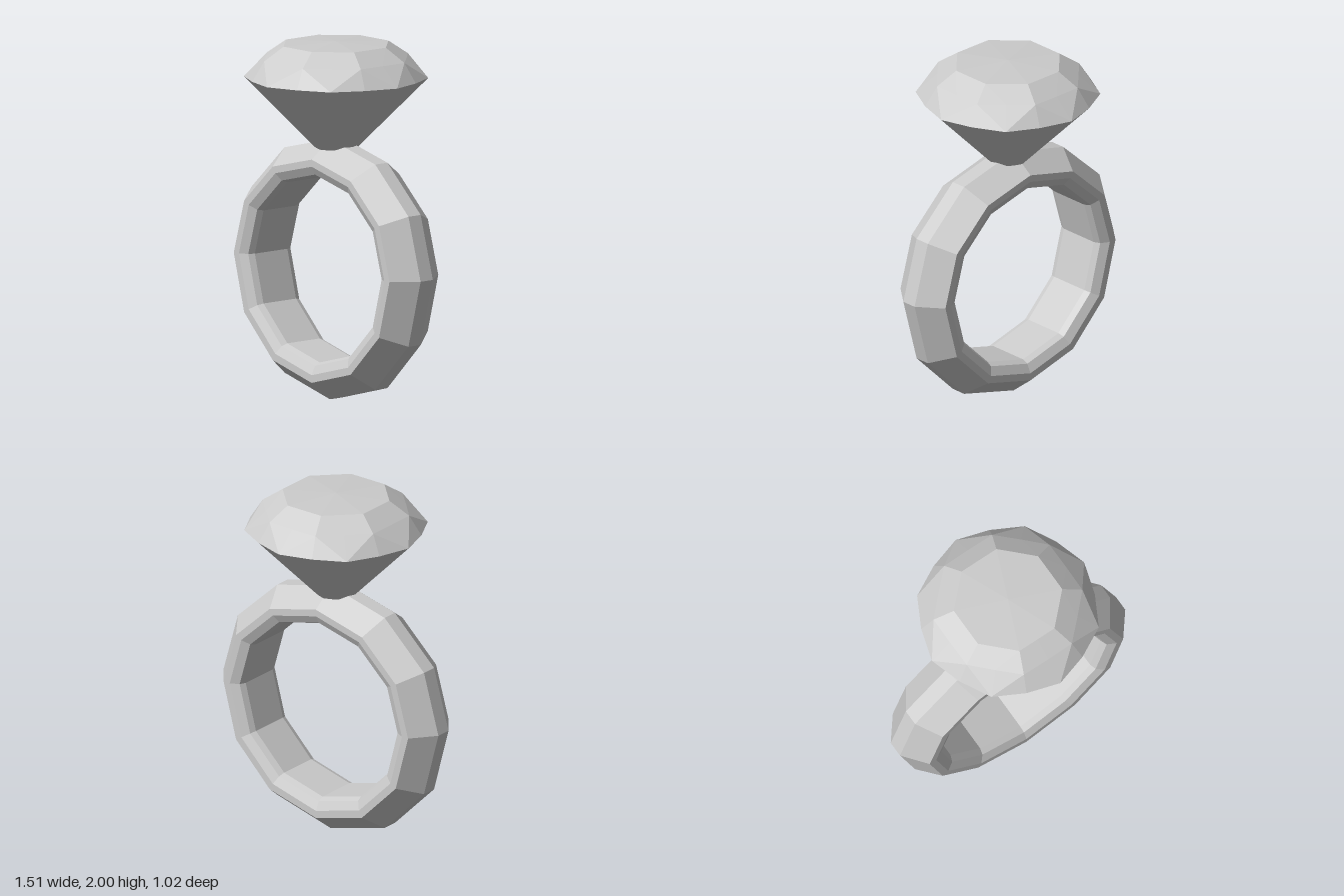
import * as THREE from 'three';

const material = new THREE.MeshStandardMaterial({ color: 0xcccccc, flatShading: true });

// Twelve-sided band: bevelled section swept round, then flattened a little in its upper half
function createBand() {
  const half = [[0.755, 0.045], [0.648, 0.18], [0.605, 0.18], [0.555, 0.155], [0.54, 0.12]];
  const mirrored = half.map(([r, z]) => [r, -z]).reverse();
  const section = [...half, ...mirrored, half[0]].map(([r, z]) => new THREE.Vector2(r, z));
  const geometry = new THREE.LatheGeometry(section, 12).rotateX(Math.PI / 2);
  const p = geometry.attributes.position;
  for (let i = 0; i < p.count; i++) {
    const y = p.getY(i);
    p.setY(i, 0.755 + (y > 0 ? y * 0.93 : y));
  }
  geometry.computeVertexNormals();
  const mesh = new THREE.Mesh(geometry, material);
  mesh.name = 'band';
  return mesh;
}

// Eight-fold cut stone from rings of 16 points: [height, radius on the corners, radius between them]
function createGem() {
  const rings = [
    [1.4, 0.0, 0.0],
    [1.4, 0.11, 0.104],
    [1.8, 0.51, 0.49],
    [1.91, 0.39, 0.42],
    [1.987, 0.283, 0.306],
    [2.0, 0.0, 0.0],
  ];
  const n = 16;
  const positions = [];
  const index = [];
  for (const [y, corner, between] of rings) {
    for (let i = 0; i < n; i++) {
      const a = (i / n) * Math.PI * 2;
      const r = i % 2 ? between : corner;
      positions.push(r * Math.sin(a), y, r * Math.cos(a));
    }
  }
  for (let k = 0; k < rings.length - 1; k++) {
    for (let i = 0; i < n; i++) {
      const j = (i + 1) % n;
      const a = k * n + i, b = k * n + j, c = b + n, d = a + n;
      // Diagonals alternate so that facets meet at the girdle corners
      if (i % 2) index.push(a, b, d, b, c, d);
      else index.push(a, b, c, a, c, d);
    }
  }
  const geometry = new THREE.BufferGeometry();
  geometry.setAttribute('position', new THREE.Float32BufferAttribute(positions, 3));
  geometry.setIndex(index);
  geometry.computeVertexNormals();
  const mesh = new THREE.Mesh(geometry, material);
  mesh.name = 'gem';
  return mesh;
}

export function createModel() {
  const ring = new THREE.Group();
  ring.name = 'gemRing';
  ring.add(createBand(), createGem());
  return ring;
}
